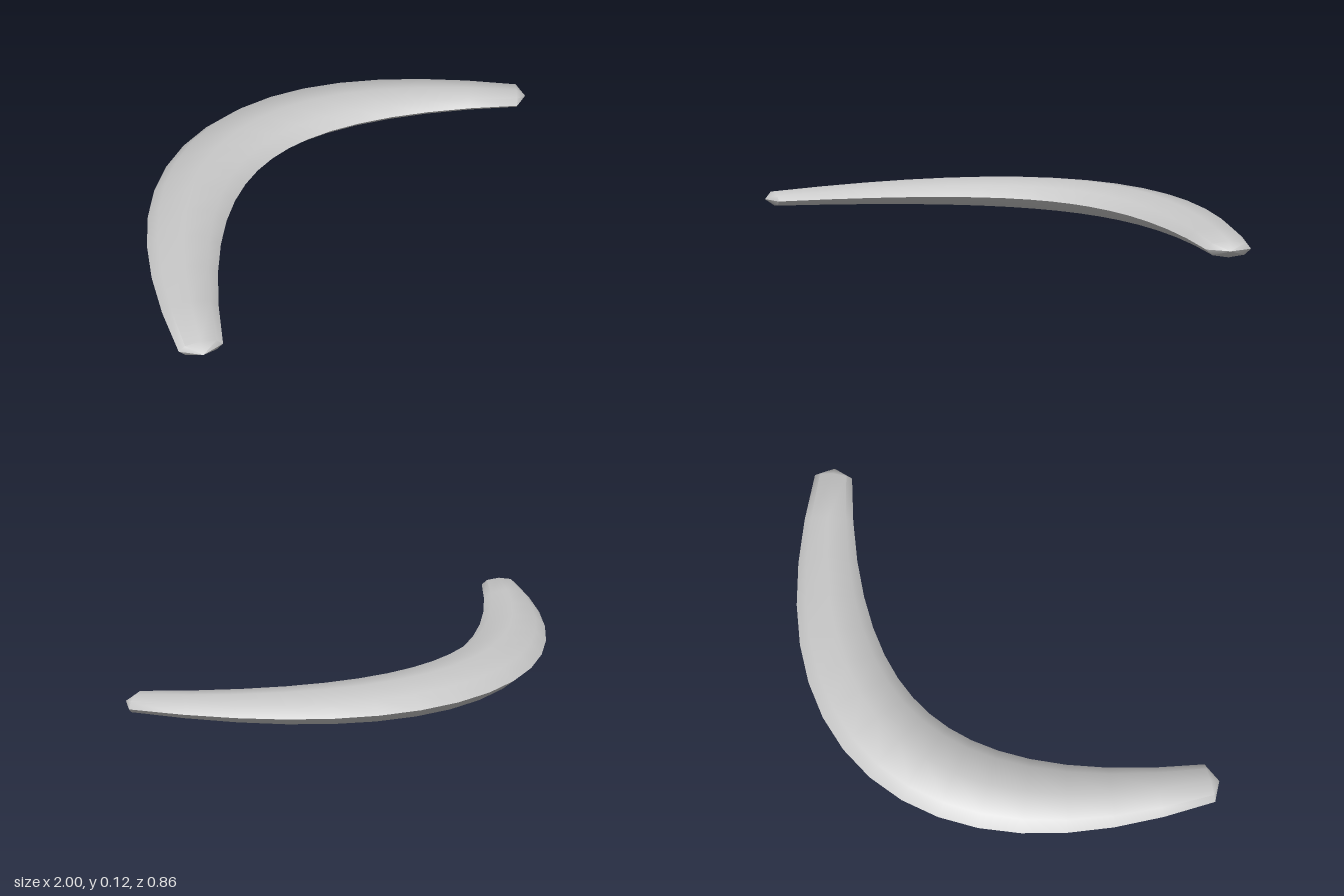
import * as THREE from 'three';
import { toCreasedNormals } from 'three/addons/utils/BufferGeometryUtils.js';

const SEGMENTS = 16; // steps along the bow
const SIDES = 8;     // corners of the oval cross-section

// One oval cross-section of the bow; u runs from -1 (right tip) to 1 (left tip)
function section(u, scale, push = 0) {
  const slope = (1.295 / 0.943) * u;
  const len = Math.hypot(1, slope);
  const tx = 1 / len, tz = slope / len; // tangent; the outward normal is (tz, -tx)
  const cx = 0.943 * u + tx * push;
  const cz = -0.265 + 0.6475 * u * u + tz * push;
  const points = [];
  for (let j = 0; j < SIDES; j++) {
    const a = (j / SIDES) * Math.PI * 2;
    const w = 0.165 * scale * Math.cos(a);
    points.push(cx + tz * w, 0.061 + 0.061 * scale * Math.sin(a), cz - tx * w);
  }
  return points;
}

function boomerangGeometry() {
  // Pointed cap, tapering body, pointed cap
  const rings = [section(-1, 0, -0.036)];
  for (let i = 0; i <= SEGMENTS; i++) {
    const u = (i / SEGMENTS) * 2 - 1;
    rings.push(section(u, 1 - 0.555 * u * u));
  }
  rings.push(section(1, 0, 0.036));

  const index = [];
  const last = rings.length - 2;
  for (let i = 0; i <= last; i++) {
    for (let j = 0; j < SIDES; j++) {
      const k = (j + 1) % SIDES;
      const a = i * SIDES + j, b = i * SIDES + k;
      const c = b + SIDES, d = a + SIDES;
      if (i > 0) index.push(a, b, c);
      if (i < last) index.push(a, c, d);
      else index.push();
    }
  }
  const geometry = new THREE.BufferGeometry();
  geometry.setAttribute('position', new THREE.Float32BufferAttribute(rings.flat(), 3));
  geometry.setIndex(index);
  return toCreasedNormals(geometry, 1.0); // keeps the two long edges sharp
}

export function createModel() {
  const group = new THREE.Group();
  group.name = 'boomerang';
  const lightGrey = new THREE.MeshStandardMaterial({ color: 0xc8c8c8 });
  lightGrey.name = 'lightGrey';
  const body = new THREE.Mesh(boomerangGeometry(), lightGrey);
  body.name = 'curvedBody';
  group.add(body);
  return group;
}
